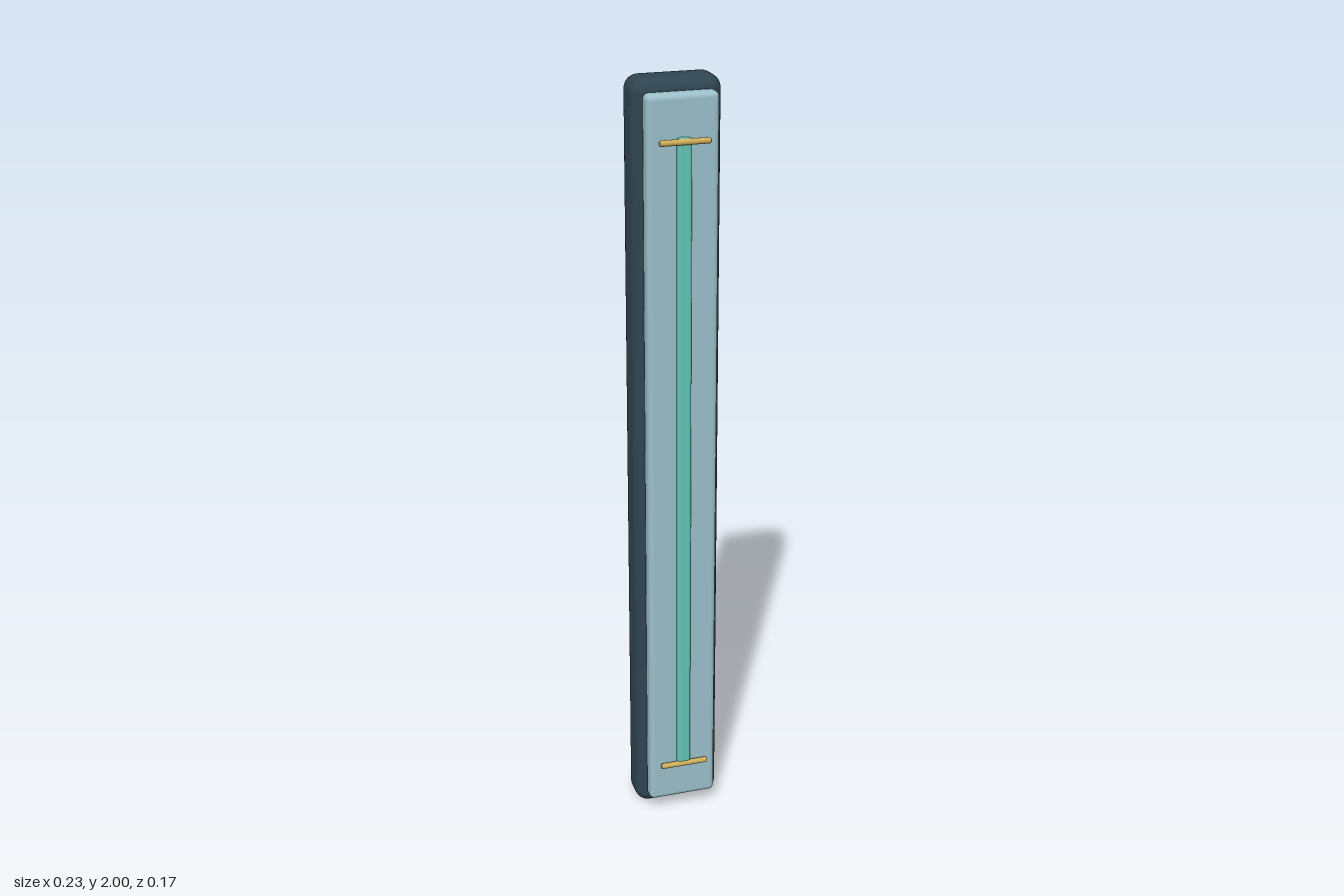
import * as THREE from 'three';
import { RoundedBoxGeometry } from 'three/addons/geometries/RoundedBoxGeometry.js';

function material(name, color) {
  const m = new THREE.MeshStandardMaterial({ color });
  m.name = name;
  return m;
}

export function createModel() {
  const group = new THREE.Group();
  group.name = 'wallBar';
  const slate = material('dark slate', 0x2f4550);
  const paleBlue = material('pale blue', 0x9bbfca);
  const teal = material('teal', 0x62c4b5);
  const brass = material('brass', 0xcfae5a);

  // Rounded block given by half width and its y and z limits
  function block(name, mat, halfX, y0, y1, z0, z1, radius) {
    const geo = new RoundedBoxGeometry(2 * halfX, y1 - y0, z1 - z0, 4, radius);
    const mesh = new THREE.Mesh(geo, mat);
    mesh.name = name;
    mesh.position.set(0, (y0 + y1) / 2, (z0 + z1) / 2);
    group.add(mesh);
  }

  block('backBody', slate, 0.114, 0, 2, -0.085, 0.022, 0.035);
  block('frontPanel', paleBlue, 0.091, 0.037, 1.97, 0.016, 0.062, 0.014);
  block('centreStrip', teal, 0.018, 0.137, 1.867, 0.048, 0.077, 0.008);

  // Crosswise pins at both ends of the strip, with softened rims
  const r = 0.0075, half = 0.064, bevel = 0.002;
  const profile = [
    [0, -half], [r - bevel, -half], [r, -half + bevel],
    [r, half - bevel], [r - bevel, half], [0, half],
  ].map(([x, y]) => new THREE.Vector2(x, y));
  const pinGeo = new THREE.LatheGeometry(profile, 20);
  pinGeo.rotateZ(Math.PI / 2);
  for (const [name, y] of [['lowerPin', 0.148], ['upperPin', 1.858]]) {
    const pin = new THREE.Mesh(pinGeo, brass);
    pin.name = name;
    pin.position.set(0, y, 0.0745);
    group.add(pin);
  }
  return group;
}
